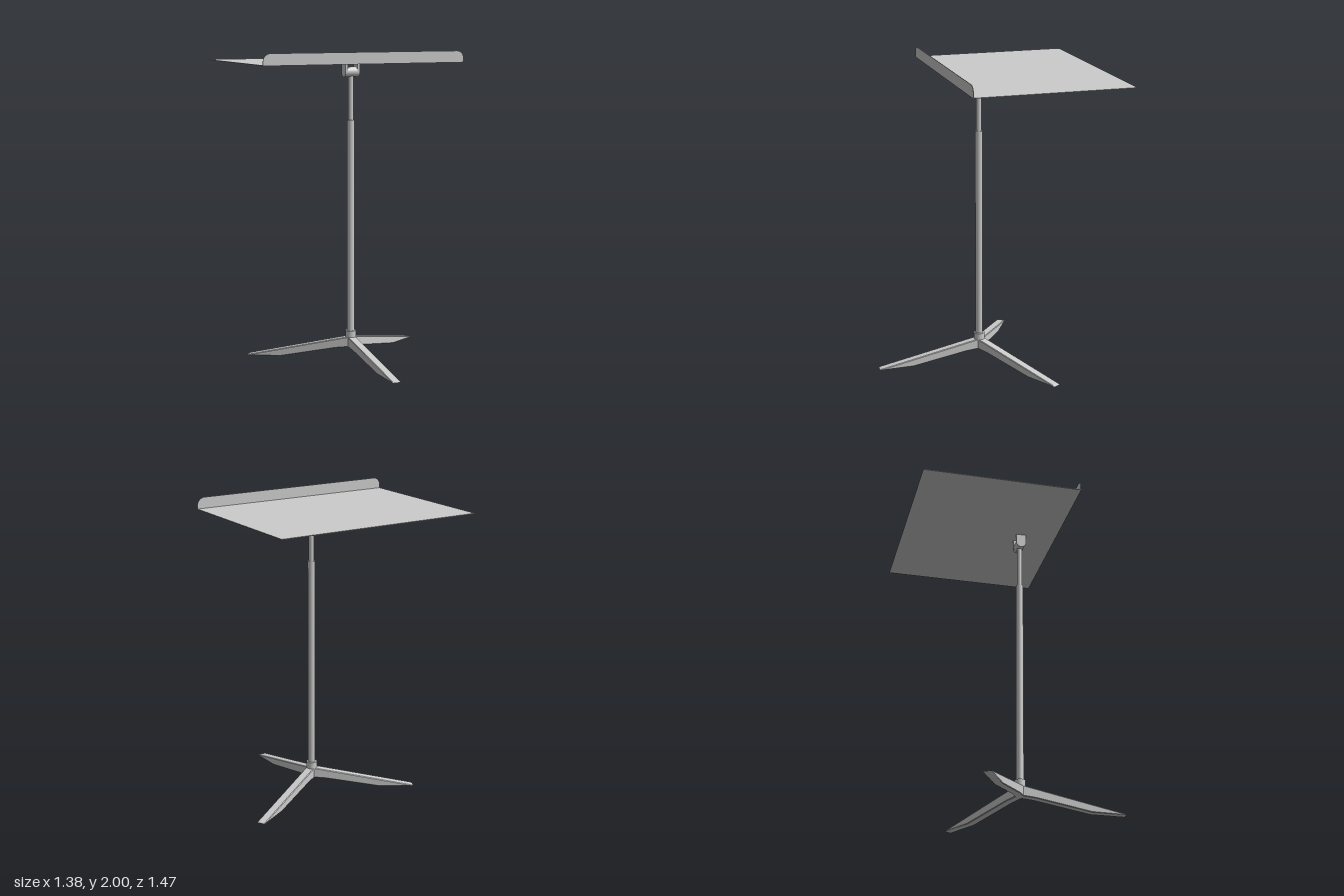
import * as THREE from 'three';

const material = new THREE.MeshStandardMaterial({ color: 0xcccccc });

function add(parent, name, geometry, x = 0, y = 0, z = 0) {
  const mesh = new THREE.Mesh(geometry, material);
  mesh.name = name;
  mesh.position.set(x, y, z);
  parent.add(mesh);
  return mesh;
}

// Vertical tube between two heights
function tube(parent, name, radius, y0, y1) {
  return add(parent, name, new THREE.CylinderGeometry(radius, radius, y1 - y0, 32), 0, (y0 + y1) / 2, 0);
}

// Tapered leg: side profile (radius, height) extruded across its width
function legGeometry(width) {
  const shape = new THREE.Shape([
    [0, 0.07], [0.03, 0.07], [0.1, 0.063], [0.46, 0], [0.685, 0], [0.67, 0.007], [0.03, 0.137], [0, 0.137],
  ].map(([r, y]) => new THREE.Vector2(r, y)));
  const bevel = 0.004;
  const geometry = new THREE.ExtrudeGeometry(shape, {
    depth: width - 2 * bevel, bevelEnabled: true, bevelThickness: bevel,
    bevelSize: bevel, bevelOffset: -bevel, bevelSegments: 1,
  });
  return geometry.translate(0, 0, bevel - width / 2);
}

// Upright lip with rounded upper corners
function lipGeometry(halfWidth, height, radius, thickness) {
  const s = new THREE.Shape();
  s.moveTo(-halfWidth, 0);
  s.lineTo(halfWidth, 0);
  s.lineTo(halfWidth, height - radius);
  s.absarc(halfWidth - radius, height - radius, radius, 0, Math.PI / 2);
  s.lineTo(radius - halfWidth, height);
  s.absarc(radius - halfWidth, height - radius, radius, Math.PI / 2, Math.PI);
  return new THREE.ExtrudeGeometry(s, { depth: thickness, bevelEnabled: false, curveSegments: 12 });
}

// Hinge cheek: square top, round bottom, extruded along x
function cheekGeometry(radius, top, thickness) {
  const s = new THREE.Shape();
  s.moveTo(radius, top);
  s.lineTo(-radius, top);
  s.lineTo(-radius, 0);
  s.absarc(0, 0, radius, Math.PI, 2 * Math.PI);
  return new THREE.ExtrudeGeometry(s, { depth: thickness, bevelEnabled: false, curveSegments: 16 })
    .translate(0, 0, -thickness / 2).rotateY(Math.PI / 2);
}

export function createModel() {
  const model = new THREE.Group();
  model.name = 'musicStand';

  // Stand, set slightly forward of the centre
  const stand = new THREE.Group();
  stand.name = 'stand';
  stand.position.z = 0.051;
  model.add(stand);

  // Three legs, one pointing forward
  const leg = legGeometry(0.056);
  for (let i = 0; i < 3; i++) {
    add(stand, 'leg', leg).rotation.y = -Math.PI / 2 + i * Math.PI * 2 / 3;
  }

  // Collar and telescopic pole
  tube(stand, 'collar', 0.035, 0.13, 0.18);
  tube(stand, 'lowerPole', 0.024, 0.1, 1.56);
  tube(stand, 'upperPole', 0.0175, 1.54, 1.86);

  // Tilting hinge: cross barrel between two cheeks
  const hingeY = 1.868;
  add(stand, 'hingeBarrel', new THREE.CylinderGeometry(0.032, 0.032, 0.08, 32).rotateZ(Math.PI / 2), 0, hingeY, 0);
  const cheek = cheekGeometry(0.033, 0.061, 0.016);
  for (const side of [-1, 1]) add(stand, 'hingeCheek', cheek, side * 0.042, hingeY, 0);

  // Flat desk with a front lip
  const t = 0.004;
  add(model, 'deskPlate', new THREE.BoxGeometry(1.376, t, 1.02), 0, 1.928, -0.225);
  add(model, 'deskLip', lipGeometry(0.688, 0.074, 0.05, t), 0, 1.926, 0.285);

  return model;
}
